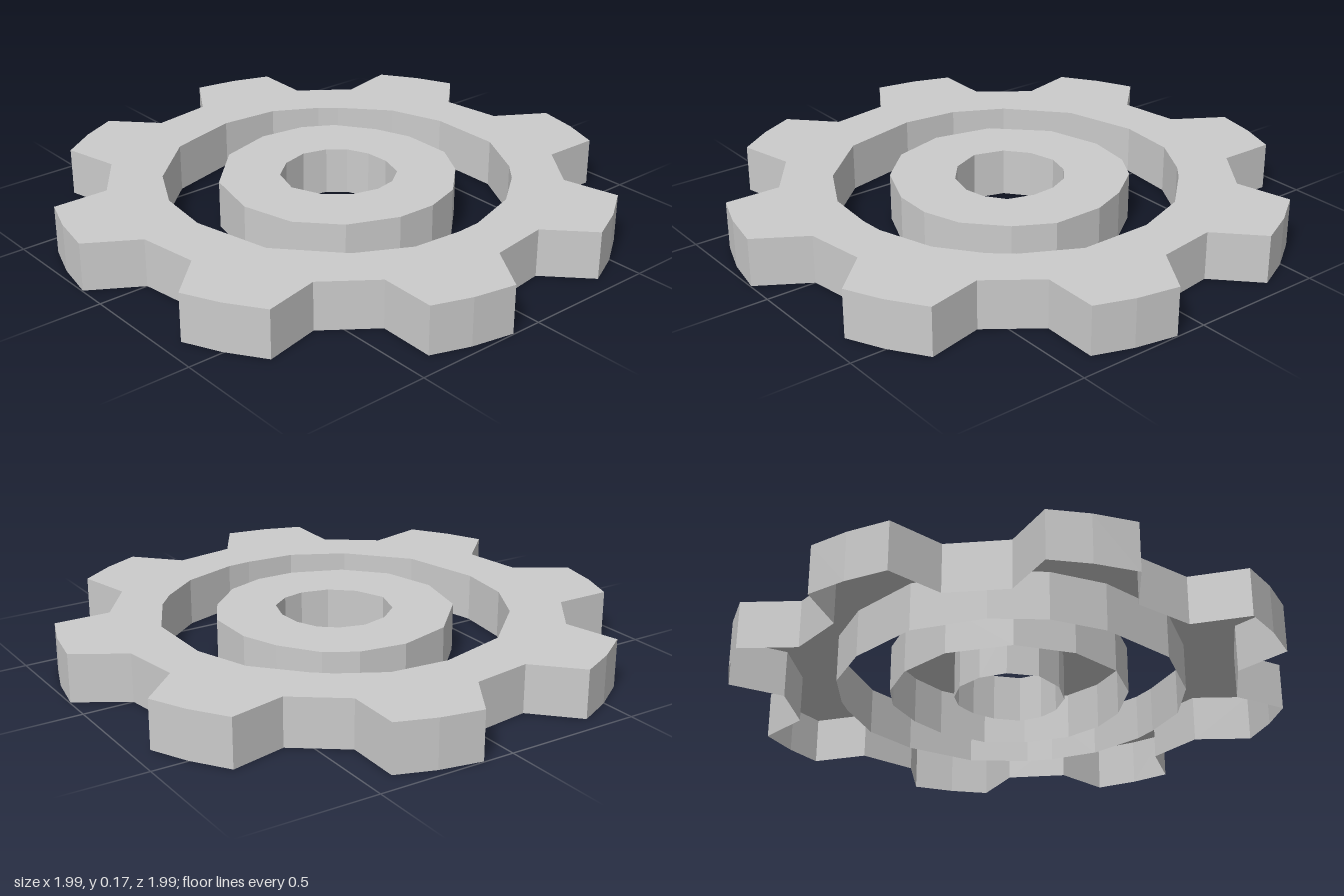
import * as THREE from 'three';

const HEIGHT = 0.175;
const material = new THREE.MeshStandardMaterial({ color: 0xcccccc, flatShading: true, side: THREE.DoubleSide });

// Outlines are lists of [x, z], clockwise seen from above.
function gearOutline() {
  const tooth = [[0, 0.817], [6.4, 1.003], [15.3, 1.003], [23.7, 1.003], [29.3, 0.815]]; // [degrees, radius]
  const points = [];
  for (let i = 0; i < 8; i++) {
    for (const [deg, r] of tooth) {
      const a = THREE.MathUtils.degToRad(deg + i * 45);
      points.push([r * Math.sin(a), -r * Math.cos(a)]);
    }
  }
  return points;
}

// Slightly uneven circles of the opening, the hub and its bore
const opening = [[-0.1, -0.62], [0.17, -0.62], [0.37, -0.515], [0.445, -0.45], [0.555, -0.305], [0.62, -0.1],
  [0.625, -0.01], [0.61, 0.175], [0.51, 0.365], [0.305, 0.55], [0.015, 0.615], [-0.19, 0.59], [-0.37, 0.495],
  [-0.55, 0.295], [-0.62, 0.03], [-0.6, -0.185], [-0.51, -0.345], [-0.46, -0.405], [-0.3, -0.55]];
const hubRim = [[-0.065, -0.425], [0.125, -0.425], [0.26, -0.35], [0.38, -0.22], [0.425, -0.08], [0.42, 0.065],
  [0.345, 0.245], [0.21, 0.37], [0.015, 0.42], [-0.2, 0.37], [-0.37, 0.2], [-0.425, 0], [-0.4, -0.17],
  [-0.335, -0.28], [-0.2, -0.375]];
const bore = [[-0.045, -0.2], [0.045, -0.205], [0.14, -0.175], [0.19, -0.105], [0.205, -0.025], [0.18, 0.075],
  [0.11, 0.155], [0, 0.2], [-0.11, 0.165], [-0.175, 0.085], [-0.2, -0.015], [-0.175, -0.105], [-0.125, -0.165]];

// Upright wall facing outward along a clockwise outline
function wall(name, outline) {
  const v = [];
  outline.forEach(([ax, az], i) => {
    const [bx, bz] = outline[(i + 1) % outline.length];
    v.push(ax, 0, az, ax, HEIGHT, az, bx, HEIGHT, bz);
    v.push(ax, 0, az, bx, HEIGHT, bz, bx, 0, bz);
  });
  const geometry = new THREE.BufferGeometry();
  geometry.setAttribute('position', new THREE.Float32BufferAttribute(v, 3));
  geometry.computeVertexNormals();
  const mesh = new THREE.Mesh(geometry, material);
  mesh.name = name;
  return mesh;
}

// Flat top plate with a hole
function plate(name, outline, hole) {
  const toVectors = (points) => points.map(([x, z]) => new THREE.Vector2(x, -z));
  const shape = new THREE.Shape(toVectors(outline));
  shape.holes.push(new THREE.Path(toVectors(hole)));
  const geometry = new THREE.ShapeGeometry(shape).rotateX(-Math.PI / 2).translate(0, HEIGHT, 0);
  const mesh = new THREE.Mesh(geometry, material);
  mesh.name = name;
  return mesh;
}

// Ring-shaped shell, open underneath
function shell(name, outline, hole) {
  const group = new THREE.Group();
  group.name = name;
  group.add(
    plate(name + 'Top', outline, hole),
    wall(name + 'OuterWall', outline),
    wall(name + 'InnerWall', [...hole].reverse()),
  );
  return group;
}

export function createModel() {
  const model = new THREE.Group();
  model.name = 'gear';
  model.add(shell('toothedRing', gearOutline(), opening), shell('hub', hubRim, bore));
  return model;
}
